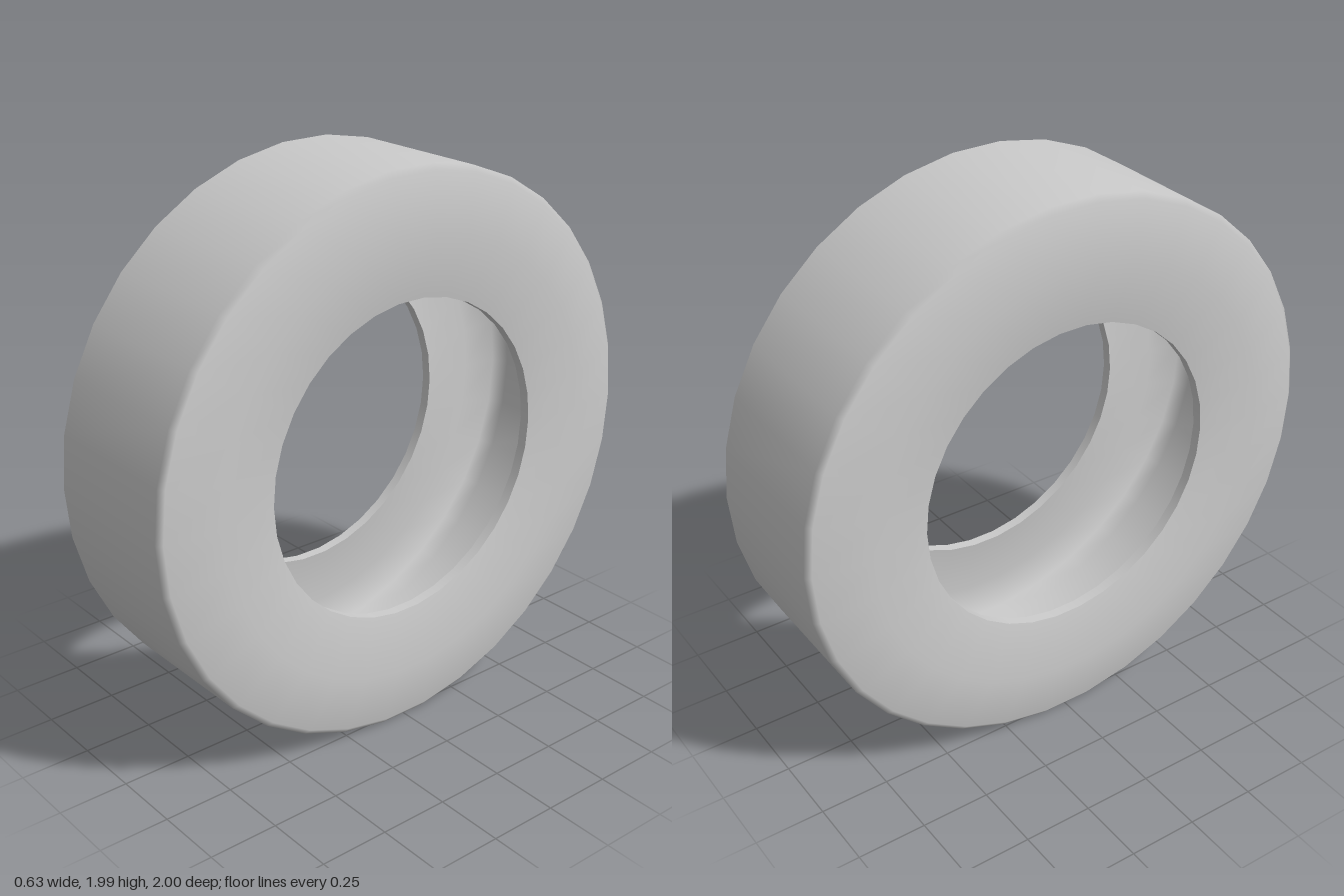
import * as THREE from 'three';

const SIDES = 34;
// Half height of the polygonal tyre, so that a flat facet rests on the ground
const CENTRE_Y = Math.cos(Math.PI / SIDES);

const material = new THREE.MeshStandardMaterial({ color: 0xcccccc });

// Revolve [radius, x] points around the x axis
function ring(name, profile) {
  const points = profile.map(([r, x]) => new THREE.Vector2(r, x));
  const geometry = new THREE.LatheGeometry(points, SIDES);
  geometry.rotateZ(-Math.PI / 2);
  const mesh = new THREE.Mesh(geometry, material);
  mesh.name = name;
  return mesh;
}

// Complete a half profile (x > 0) with its mirror image
const mirrored = (half) => [...half.map(([r, x]) => [r, -x]), ...half.slice().reverse()];

export function createModel() {
  const tyre = new THREE.Group();
  tyre.name = 'tyre';

  // Bulging sidewalls, bevelled shoulders and flat tread
  const outer = mirrored([[0.565, 0.28], [0.78, 0.315], [0.98, 0.285], [1, 0.268]]);
  tyre.add(ring('treadAndSidewalls', outer));

  // Narrow bead lips around the hole
  tyre.add(ring('leftBead', [[0.565, 0.28], [0.565, 0.243]]));
  tyre.add(ring('rightBead', [[0.565, -0.243], [0.565, -0.28]]));

  // Hollow inside, facing the axle
  const inner = mirrored([[0.565, 0.243], [0.78, 0.272], [0.9, 0.245], [0.935, 0.2]]).reverse();
  tyre.add(ring('innerCavity', inner));

  tyre.position.y = CENTRE_Y;
  const model = new THREE.Group();
  model.name = 'tyreModel';
  model.add(tyre);
  return model;
}
